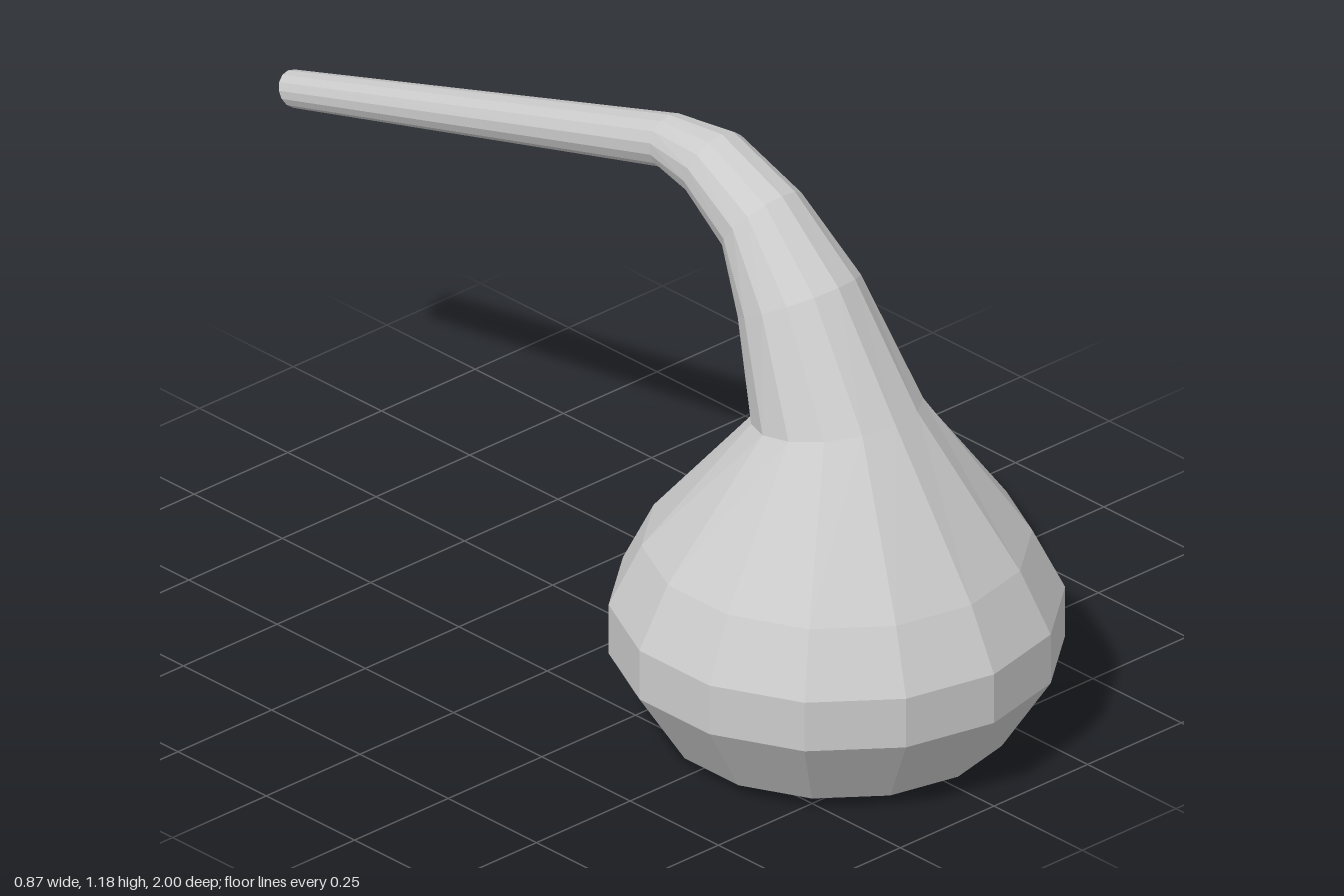
import * as THREE from 'three';

const SIDES = 14;

// Faceted open tube lofted through rings; each ring is [front z, front y, back z, back y]
// and is a circle whose diameter joins those two points.
function loft(name, rings, material) {
  const positions = [];
  const index = [];
  for (const [z0, y0, z1, y1] of rings) {
    const radius = Math.hypot(z0 - z1, y0 - y1) / 2;
    for (let j = 0; j < SIDES; j++) {
      const a = (j / SIDES) * Math.PI * 2;
      const c = Math.cos(a) / 2;
      positions.push(
        Math.sin(a) * radius,
        (y0 + y1) / 2 + c * (y0 - y1),
        (z0 + z1) / 2 + c * (z0 - z1)
      );
    }
  }
  for (let i = 0; i < rings.length - 1; i++) {
    for (let j = 0; j < SIDES; j++) {
      const a = i * SIDES + j;
      const b = i * SIDES + (j + 1) % SIDES;
      index.push(a, b, b + SIDES, a, b + SIDES, a + SIDES);
    }
  }
  const indexed = new THREE.BufferGeometry();
  indexed.setAttribute('position', new THREE.Float32BufferAttribute(positions, 3));
  indexed.setIndex(index);
  const geometry = indexed.toNonIndexed();
  geometry.computeVertexNormals();
  const mesh = new THREE.Mesh(geometry, material);
  mesh.name = name;
  return mesh;
}

export function createModel() {
  const group = new THREE.Group();
  group.name = 'retortFlask';
  const glass = new THREE.MeshStandardMaterial({
    color: 0xcccccc, flatShading: true, side: THREE.DoubleSide
  });

  // Tilted ring where the bulb narrows into the neck
  const collar = [0.722, 0.73, 0.39, 0.665];

  // Bulb: level rings as [radius, height], open underneath
  const centreZ = 0.555;
  const bulbRings = [[0.287, 0], [0.343, 0.025], [0.445, 0.183], [0.445, 0.29], [0.381, 0.418]]
    .map(([r, y]) => [centreZ + r, y, centreZ - r, y]);
  group.add(loft('bulb', [...bulbRings, collar], glass));

  // Neck: bends over backward and tapers
  const neckEnd = [0.08, 1.165, 0.085, 1.055];
  group.add(loft('neck', [
    collar,
    [0.56, 0.97, 0.337, 0.85],
    [0.40, 1.11, 0.285, 0.965],
    [0.23, 1.18, 0.18, 1.037],
    neckEnd
  ], glass));

  // Spout: long straight tube, open at the tip
  group.add(loft('spout', [neckEnd, [-1, 0.842, -0.965, 0.775]], glass));

  return group;
}
